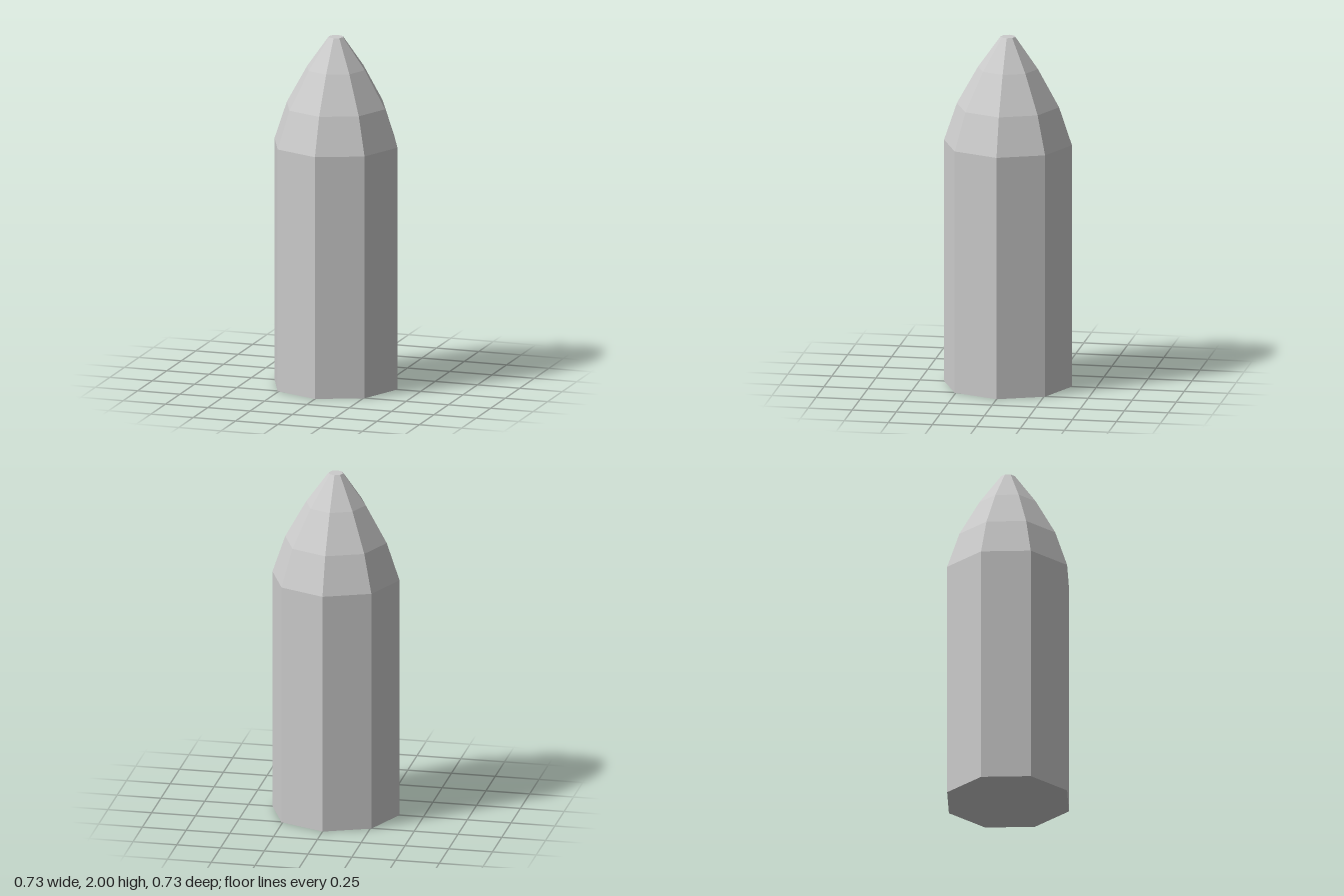
import * as THREE from 'three';

const SIDES = 8;
const RADIUS = 0.363;
const SHOULDER = 1.39;

export function createModel() {
  const model = new THREE.Group();
  const material = new THREE.MeshStandardMaterial({ color: 0xcccccc, flatShading: true });

  // Turns a [radius, height] profile, listed bottom to top, into an eight-sided part
  const turned = (name, profile) => {
    const points = profile.map(([r, y]) => new THREE.Vector2(r, y));
    const mesh = new THREE.Mesh(new THREE.LatheGeometry(points, SIDES), material);
    mesh.name = name;
    model.add(mesh);
  };

  // Straight body, closed underneath
  turned('body', [[0, 0], [RADIUS, 0], [RADIUS, SHOULDER]]);

  // Nose tapering in three steps to a small flat tip
  turned('nose', [[RADIUS, SHOULDER], [0.29, 1.605], [0.17, 1.82], [0.042, 2], [0, 2]]);

  return model;
}
